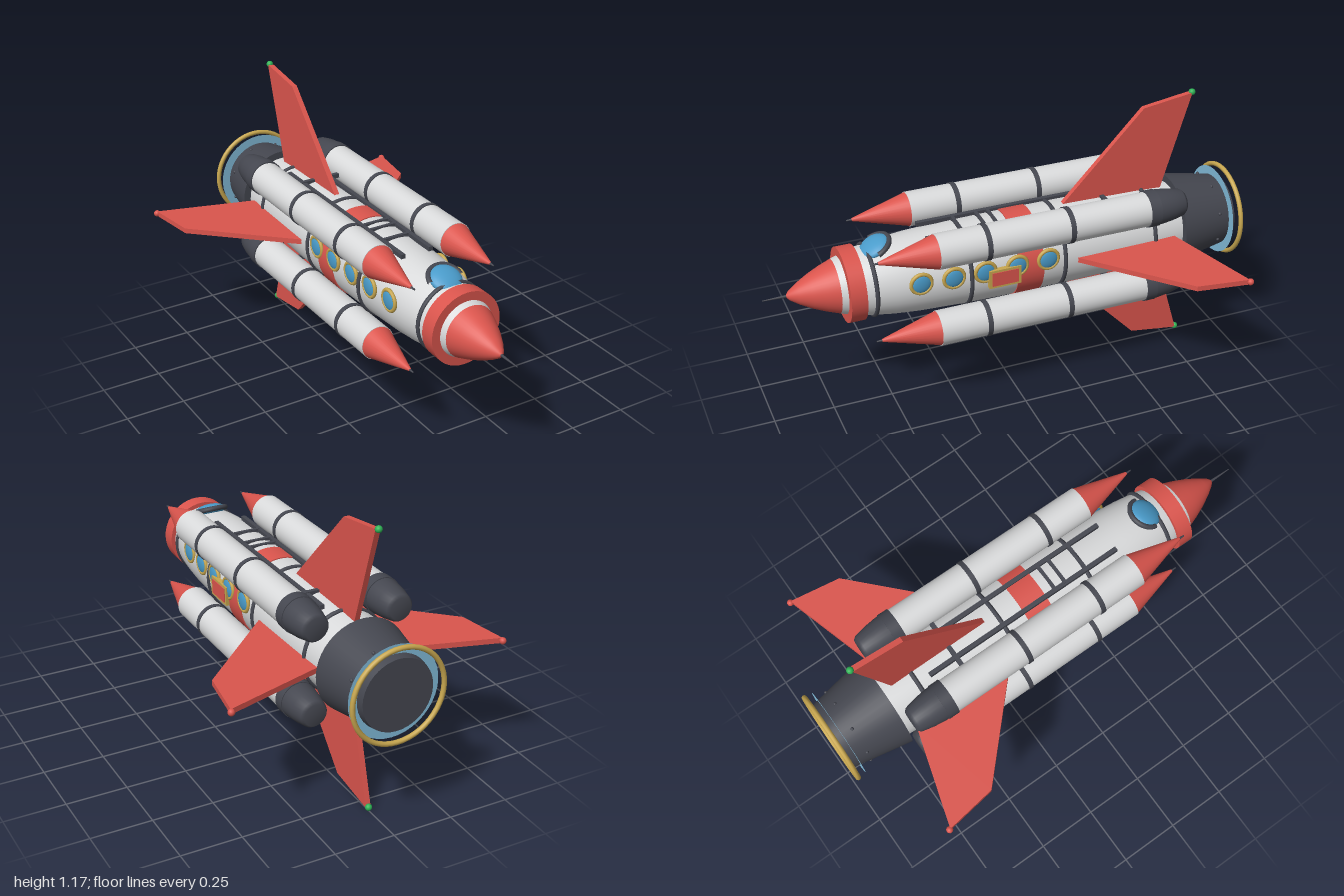
import * as THREE from 'three';

const mat = (name, color, side = THREE.FrontSide) => {
  const m = new THREE.MeshStandardMaterial({ color, side });
  m.name = name;
  return m;
};

export function createModel() {
  const white = mat('hull white', 0xd9dadb);
  const red = mat('rocket red', 0xdb554d);
  const dark = mat('dark grey', 0x454750);
  const gold = mat('gold', 0xc9a850);
  const blue = mat('window blue', 0x4a9ccb);
  const glow = mat('pale blue', 0x83bddb, THREE.DoubleSide);
  const green = mat('green light', 0x2fb255);

  const root = new THREE.Group();
  root.name = 'rocket';
  const ship = new THREE.Group();
  ship.name = 'ship';
  ship.position.y = 0.585;
  root.add(ship);

  const add = (parent, name, geo, m, x = 0, y = 0, z = 0) => {
    const mesh = new THREE.Mesh(geo, m);
    mesh.name = name;
    mesh.position.set(x, y, z);
    parent.add(mesh);
    return mesh;
  };
  // Turned part along z; profile is [z, radius] from back to front
  const turned = (profile, sides = 40) => new THREE.LatheGeometry(
    profile.map(([z, r]) => new THREE.Vector2(r, z)), sides).rotateX(Math.PI / 2);
  // Closed straight band along z
  const band = (z0, z1, r) => new THREE.CylinderGeometry(r, r, z1 - z0, 40)
    .rotateX(Math.PI / 2).translate(0, 0, (z0 + z1) / 2);

  // Hull
  const hull = [[-0.75, 0.16], [-0.6, 0.168], [-0.3, 0.174], [0, 0.175], [0.2, 0.172],
    [0.4, 0.163], [0.5, 0.154], [0.6, 0.139], [0.66, 0.125], [0.71, 0.109]];
  const hullRadius = (z) => {
    const i = Math.max(1, hull.findIndex((p) => p[0] >= z));
    const [a, b] = [hull[i - 1], hull[i]];
    return a[1] + (b[1] - a[1]) * (z - a[0]) / (b[0] - a[0]);
  };
  add(ship, 'hull', turned(hull), white);
  add(ship, 'nose', turned([[0.71, 0.109], [0.76, 0.091], [0.81, 0.069], [0.86, 0.042],
    [0.895, 0.018], [0.91, 0]]), red);
  add(ship, 'noseProbe', turned([[0.9, 0.006], [1, 0.002], [1, 0]], 8), dark);
  add(ship, 'noseCollar', band(0.62, 0.685, 0.153), red);
  add(ship, 'redBand', band(-0.105, 0.005, 0.179), red);
  for (const z of [0.578, 0.2, -0.2, -0.605]) {
    add(ship, 'hullRing', new THREE.TorusGeometry(hullRadius(z) + 0.001, 0.009, 8, 40), dark, 0, 0, z);
  }

  // Main engine
  add(ship, 'engineBell', turned([[-0.985, 0], [-0.985, 0.146]]), dark);
  add(ship, 'engineSkirt', turned([[-0.985, 0.146], [-0.735, 0.192]]), dark);
  add(ship, 'engineFrontFace', turned([[-0.735, 0.192], [-0.735, 0.1]]), dark);
  add(ship, 'engineGlowRing', new THREE.RingGeometry(0.148, 0.188, 40), glow, 0, 0, -0.955);
  add(ship, 'engineGoldRing', new THREE.TorusGeometry(0.19, 0.01, 10, 48), gold, 0, 0, -0.99);
  for (let i = 0; i < 8; i++) {
    const a = (i + 0.5) * Math.PI / 4;
    add(ship, 'engineBolt', new THREE.SphereGeometry(0.007, 8, 6), dark,
      0.16 * Math.cos(a), 0.16 * Math.sin(a), -0.91);
  }

  // Four strap-on boosters
  for (const sx of [-1, 1]) for (const sy of [-1, 1]) {
    const b = new THREE.Group();
    b.name = 'booster';
    b.position.set(sx * 0.177, sy * 0.177, 0);
    ship.add(b);
    add(b, 'boosterTube', band(-0.56, 0.35, 0.071), white);
    add(b, 'boosterNose', turned([[0.35, 0.069], [0.58, 0.006], [0.582, 0]], 28), red);
    add(b, 'boosterProbe', turned([[0.565, 0.006], [0.602, 0.003], [0.602, 0]], 8), dark);
    for (const z of [0.15, -0.2]) add(b, 'boosterRing', band(z - 0.01, z + 0.01, 0.0745), dark);
    add(b, 'boosterCollar', band(-0.585, -0.54, 0.0755), dark);
    add(b, 'boosterTail', turned([[-0.712, 0], [-0.712, 0.045], [-0.7, 0.055], [-0.65, 0.066],
      [-0.6, 0.072], [-0.56, 0.073]], 28), dark);
  }

  // Fins with tip lights
  const outline = new THREE.Shape([[0.15, -0.232], [0.54, -0.6], [0.572, -0.815], [0.15, -0.69]]
    .map(([r, z]) => new THREE.Vector2(r, z)));
  const finGeo = new THREE.ExtrudeGeometry(outline, { depth: 0.022, bevelEnabled: false })
    .translate(0, 0, -0.011).rotateX(Math.PI / 2);
  for (let i = 0; i < 4; i++) {
    const f = new THREE.Group();
    f.name = 'finAssembly';
    f.rotation.z = i * Math.PI / 2;
    ship.add(f);
    add(f, 'fin', finGeo, red);
    add(f, 'finTip', new THREE.SphereGeometry(0.014, 14, 10), i % 2 ? green : red, 0.571, 0, -0.818);
  }

  // Portholes along both sides
  for (const s of [-1, 1]) for (const z of [0.406, 0.274, 0.144, 0.01, -0.123]) {
    const p = new THREE.Group();
    p.name = 'porthole';
    const r = hullRadius(z) + 0.003;
    p.position.set(s * Math.sqrt(r * r - 0.035 * 0.035), 0.035, z);
    p.rotation.set(0, s * Math.PI / 2, 0);
    ship.add(p);
    add(p, 'portholeFrame', new THREE.TorusGeometry(0.042, 0.008, 8, 28), gold);
    add(p, 'portholeGlass', new THREE.SphereGeometry(0.041, 24, 12), blue).scale.z = 0.3;
  }

  // Side hatch plate
  add(ship, 'hatchFrame', new THREE.BoxGeometry(0.02, 0.08, 0.135), gold, 0.181, 0.003, 0.067);
  add(ship, 'hatchPanel', new THREE.BoxGeometry(0.008, 0.06, 0.11), red, 0.19, 0.003, 0.067);

  // Cockpit window with arched hood
  const cockpit = new THREE.Group();
  cockpit.name = 'cockpit';
  cockpit.position.set(0, 0.145, 0.545);
  cockpit.rotation.x = -1.1;
  ship.add(cockpit);
  add(cockpit, 'cockpitGlass', new THREE.SphereGeometry(0.066, 28, 16), blue).scale.z = 0.4;
  add(cockpit, 'cockpitHood', new THREE.TorusGeometry(0.068, 0.011, 8, 28, Math.PI), dark);

  // Service ladder on top
  for (const s of [-1, 1]) {
    add(ship, 'ladderRail', new THREE.BoxGeometry(0.018, 0.018, 0.9), dark, s * 0.063, 0.169, -0.1);
  }
  for (const z of [0.05, 0.1, 0.2]) {
    add(ship, 'ladderRung', new THREE.BoxGeometry(0.126, 0.014, 0.014), dark, 0, 0.172, z);
  }

  // Struts joining the boosters
  for (const s of [-1, 1]) {
    add(ship, 'boosterStrut', new THREE.BoxGeometry(0.25, 0.018, 0.018), dark, 0, s * 0.172, -0.427);
  }
  return root;
}
